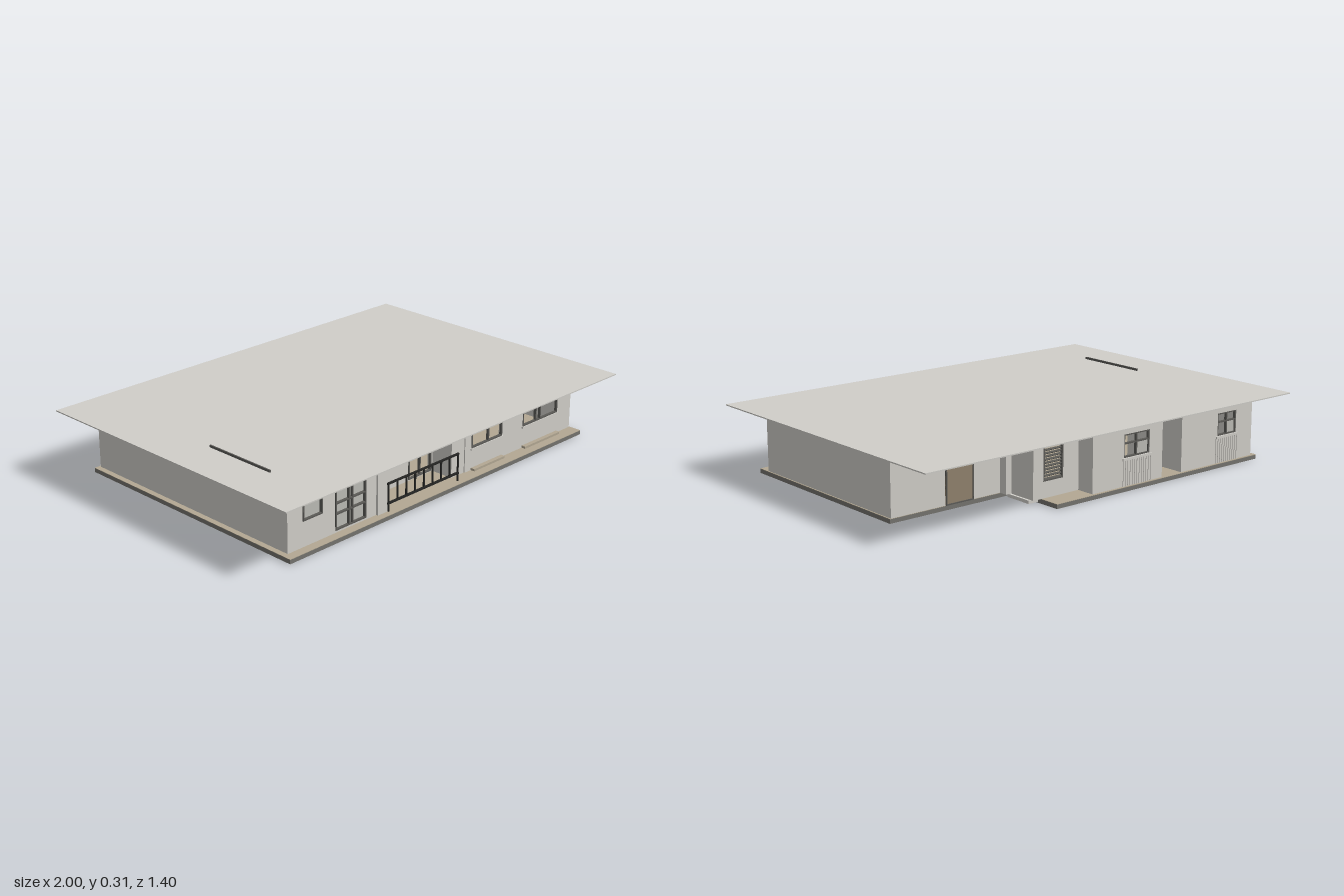
import * as THREE from 'three';

const mat = (name, color, double) => {
  const m = new THREE.MeshStandardMaterial({ color });
  m.name = name;
  if (double) m.side = THREE.DoubleSide;
  return m;
};

export function createModel() {
  const wallMat = mat('wall plaster', 0xd2d0ca);
  const roofMat = mat('roof sheet', 0xd0cec9);
  const slabMat = mat('slab concrete', 0x75746f);
  const floorMat = mat('floor tan', 0xb3a893);
  const doorMat = mat('door brown', 0x91836e);
  const frameMat = mat('frame grey', 0x5c5b57);
  const railMat = mat('rail black', 0x262624);
  const paneMat = mat('pane grey', 0xbdbcb6);

  const house = new THREE.Group();
  house.name = 'house';
  const BASE = 0.02, TOP = 0.29, T = 0.018;

  // box given by its minimum and maximum corners
  function box(name, m, x0, x1, y0, y1, z0, z1, parent = house) {
    const mesh = new THREE.Mesh(new THREE.BoxGeometry(x1 - x0, y1 - y0, z1 - z0), m);
    mesh.position.set((x0 + x1) / 2, (y0 + y1) / 2, (z0 + z1) / 2);
    mesh.name = name;
    parent.add(mesh);
    return mesh;
  }

  // flat outline [a, b] pairs extruded by depth
  function outline(pts) {
    return new THREE.Shape(pts.map(p => new THREE.Vector2(p[0], p[1])));
  }
  const rect = (x0, x1, y0, y1) => [[x0, y0], [x1, y0], [x1, y1], [x0, y1]];

  // wall along x from z to z + T, with openings [x0, x1, y0, y1]
  function wall(name, x0, x1, z, openings = []) {
    const s = outline(rect(x0, x1, BASE, TOP));
    openings.forEach(o => s.holes.push(new THREE.Path(rect(...o).reverse().map(p => new THREE.Vector2(...p)))));
    const mesh = new THREE.Mesh(new THREE.ExtrudeGeometry(s, { depth: T, bevelEnabled: false }), wallMat);
    mesh.position.z = z;
    mesh.name = name;
    house.add(mesh);
  }

  // frame around an opening, with mullions at given x and transoms at given y
  function frame(name, [x0, x1, y0, y1], z, mullions = [], transoms = [], w = 0.006) {
    const g = new THREE.Group();
    g.name = name;
    const d = 0.012;
    [x0 + w / 2, x1 - w / 2, ...mullions].forEach(x => box('frameUpright', frameMat, x - w / 2, x + w / 2, y0, y1, z, z + d, g));
    [y0 + w / 2, y1 - w / 2, ...transoms].forEach(y => box('frameBar', frameMat, x0, x1, y - w / 2, y + w / 2, z, z + d, g));
    house.add(g);
    return g;
  }

  // slab with the rear right corner cut away, and the floor finish on it
  const slabPts = [[-0.88, 0.62], [0.29, 0.62], [0.29, 0.35], [0.91, 0.35], [0.91, -0.59], [-0.88, -0.59]];
  [['slab', slabMat, 0.018, 0], ['floor', floorMat, 0.002, 0.018]].forEach(([name, m, depth, y]) => {
    const g = new THREE.ExtrudeGeometry(outline(slabPts), { depth, bevelEnabled: false });
    g.rotateX(-Math.PI / 2);
    const mesh = new THREE.Mesh(g, m);
    mesh.position.y = y;
    mesh.name = name;
    house.add(mesh);
  });
  box('entranceStep', wallMat, 0.29, 0.34, 0.004, 0.018, -0.505, -0.375);

  // roof sheet and its upstand
  box('roof', roofMat, -1, 1, TOP, TOP + 0.005, -0.7, 0.7);
  box('roofUpstand', frameMat, -0.803, -0.797, TOP + 0.005, 0.305, 0.05, 0.4);

  // side walls
  box('leftEndWall', wallMat, 0.905 - T, 0.905, BASE, TOP, -0.35, 0.53);
  box('rightEndWall', wallMat, -0.855, -0.855 + T, BASE, TOP, -0.61, 0.55);

  // front walls and openings
  const smallWin = [-0.775, -0.67, 0.13, 0.265], glassDoor = [-0.6, -0.43, 0.03, 0.275];
  const winA = [0.23, 0.43, 0.12, 0.28], winB = [0.57, 0.81, 0.12, 0.28];
  wall('frontWallBedroom', -0.855, -0.37, 0.55 - T, [smallWin, glassDoor]);
  wall('frontPier', -0.37, -0.315, 0.56 - T);
  wall('frontPier', 0.11, 0.19, 0.525 - T);
  wall('frontWallLiving', 0.19, 0.905, 0.53 - T, [winA, winB]);
  frame('smallFrontWindow', smallWin, 0.542, [], [0.255]);
  box('smallWindowPane', paneMat, -0.775, -0.67, 0.13, 0.265, 0.538, 0.542);
  frame('frontDoor', glassDoor, 0.542, [-0.525, -0.505], [0.145, 0.1]);
  box('frontDoorPane', paneMat, -0.6, -0.43, 0.03, 0.275, 0.538, 0.542);
  frame('frontWindow', winA, 0.52, [0.34], []);
  frame('frontWindow', winB, 0.52, [0.66, 0.69], []);
  [winA, winB].forEach(([a, b]) => {
    box('windowSill', wallMat, a - 0.005, b + 0.005, 0.112, 0.12, 0.52, 0.536);
    box('frontKerb', floorMat, a, b, BASE, 0.03, 0.53, 0.55);
  });

  // recessed balcony: side walls, glazed back, header
  box('balconySide', wallMat, -0.335, -0.315, BASE, TOP, 0.4, 0.545);
  box('balconySide', wallMat, 0.11, 0.13, BASE, TOP, 0.4, 0.515);
  wall('balconyBack', -0.32, 0.12, 0.4, [[-0.04, 0.1, 0.025, 0.27]]);
  frame('balconyDoor', [-0.04, 0.1, 0.025, 0.27], 0.41, [0.03], []);
  box('balconyHeader', frameMat, -0.315, 0.11, 0.278, 0.288, 0.52, 0.53);

  // balustrade
  const rail = new THREE.Group();
  rail.name = 'balustrade';
  house.add(rail);
  [[0.052, 0.06], [0.139, 0.146]].forEach(([a, b]) => box('railBar', railMat, -0.318, 0.113, a, b, 0.557, 0.566, rail));
  for (let i = 0; i <= 8; i++) {
    const x = -0.312 + i * 0.0525;
    box('baluster', railMat, x - 0.003, x + 0.003, i % 8 ? 0.055 : BASE, 0.145, 0.559, 0.565, rail);
  }

  // rear walls stepping out in three planes
  const backDoor = [0.5, 0.64, BASE + 0.001, 0.265], louvre = [0.175, 0.28, 0.09, 0.25];
  const rearA = [-0.23, -0.085, 0.14, 0.24], rearB = [-0.755, -0.64, 0.14, 0.24];
  wall('rearWallLiving', 0.29, 0.905, -0.35);
  box('backDoor', doorMat, ...backDoor, -0.354, -0.325);
  frame('backDoorFrame', backDoor, -0.358, [], [], 0.005);
  box('entranceSide', wallMat, 0.315, 0.333, BASE, TOP, -0.525, -0.34);
  box('entrancePost', wallMat, 0.333, 0.36, BASE, TOP, -0.39, -0.35);
  wall('rearWallEntrance', 0.09, 0.333, -0.525, [louvre]);
  box('rearReturn', wallMat, 0.072, 0.09, BASE, TOP, -0.61, -0.5);
  wall('rearWallKitchen', -0.305, 0.09, -0.61, [rearA]);
  wall('rearWallBath', -0.855, -0.42, -0.61, [rearB]);

  // louvre blades
  const blades = new THREE.Group();
  blades.name = 'louvreWindow';
  house.add(blades);
  for (let i = 0; i < 12; i++) {
    const y = 0.097 + i * 0.0133;
    box('blade', frameMat, louvre[0], louvre[1], y - 0.004, y + 0.004, -0.522, -0.512, blades).rotation.x = 0.5;
  }
  frame('louvreFrame', louvre, -0.527);

  // rear windows with ribbed panels beneath
  [rearA, rearB].forEach(o => {
    const [a, b] = o;
    frame('rearWindow', o, -0.608, [(a + b) / 2], [0.2]);
    box('rearPane', paneMat, a, (a + b) / 2, 0.14, 0.2, -0.602, -0.598);
    box('rearSill', wallMat, a - 0.01, b + 0.01, 0.13, 0.14, -0.616, -0.6);
    for (let x = a - 0.01; x < b + 0.01; x += 0.013) box('rib', wallMat, x, x + 0.005, BASE, 0.13, -0.613, -0.608);
  });

  // rear service recess with an inner glazed door
  box('recessSide', wallMat, -0.438, -0.42, BASE, TOP, -0.6, -0.42);
  box('recessSide', wallMat, -0.305, -0.287, BASE, TOP, -0.6, -0.42);
  wall('recessBack', -0.43, -0.295, -0.44);
  box('recessDoor', paneMat, -0.4, -0.33, BASE, 0.25, -0.444, -0.44);
  frame('recessDoorFrame', [-0.4, -0.33, BASE, 0.25], -0.447);
  return house;
}
